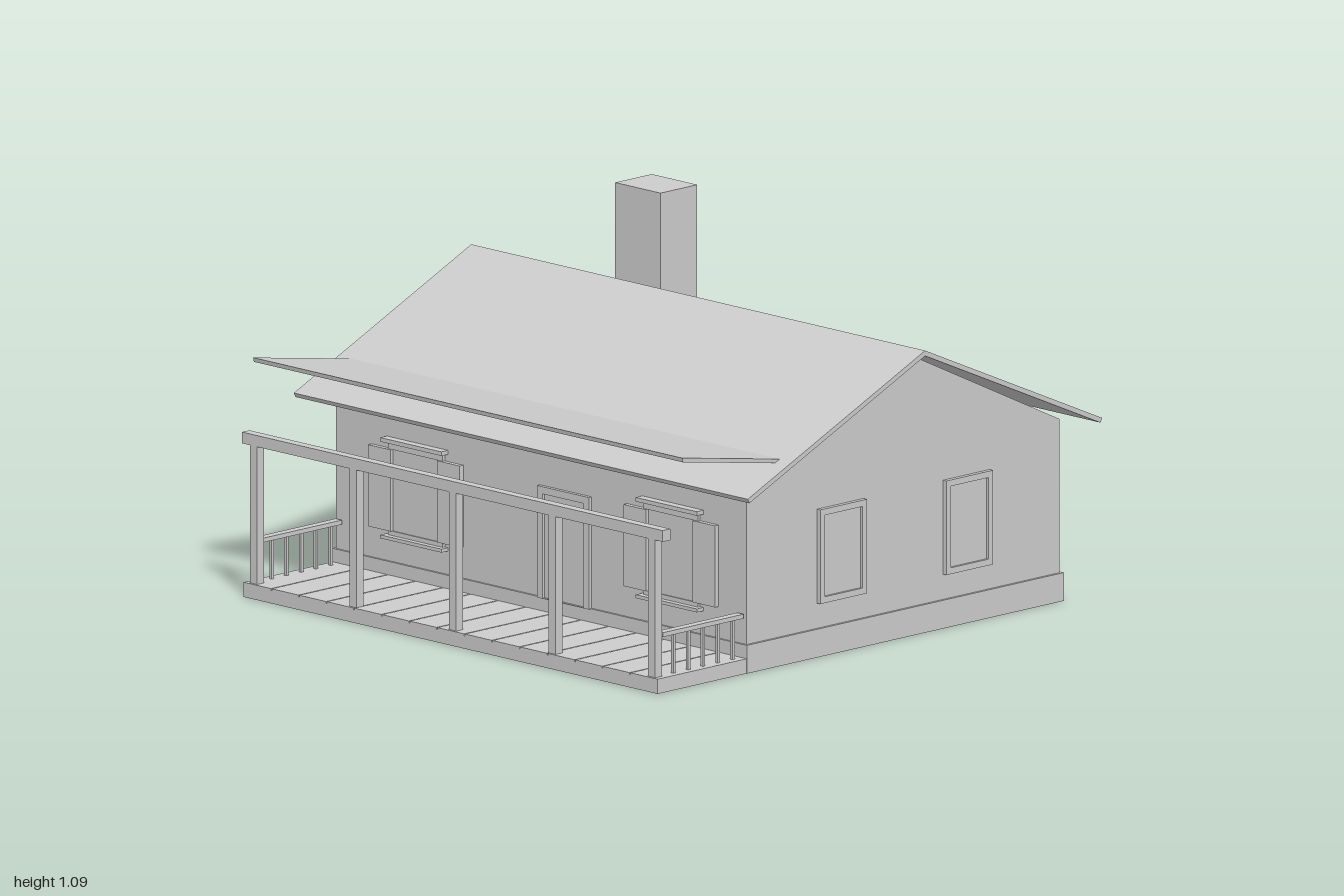
import * as THREE from 'three';

export function createModel() {
  const house = new THREE.Group();
  house.name = 'house';
  const paint = new THREE.MeshStandardMaterial({ color: 0xcccccc });
  paint.name = 'light grey';

  const add = (name, geometry, parent = house) => {
    const mesh = new THREE.Mesh(geometry, paint);
    mesh.name = name;
    parent.add(mesh);
    return mesh;
  };
  // Box given by its limits on each axis
  const box = (name, x0, x1, y0, y1, z0, z1, parent) => {
    const g = new THREE.BoxGeometry(x1 - x0, y1 - y0, z1 - z0);
    g.translate((x0 + x1) / 2, (y0 + y1) / 2, (z0 + z1) / 2);
    return add(name, g, parent);
  };
  // Side profile of [z, y] points extruded across the width
  const acrossX = (name, points, halfWidth) => {
    const shape = new THREE.Shape(points.map(([z, y]) => new THREE.Vector2(z, y)));
    const g = new THREE.ExtrudeGeometry(shape, { depth: halfWidth * 2, bevelEnabled: false });
    g.translate(0, 0, -halfWidth);
    g.rotateY(-Math.PI / 2);
    return add(name, g);
  };
  // Rectangular frame with a rectangular opening, facing +z
  const frameGeometry = (w, h, iw, iy0, iy1, depth) => {
    const rect = (T, hw, y0, y1) => new T([[-hw, y0], [hw, y0], [hw, y1], [-hw, y1]]
      .map(([x, y]) => new THREE.Vector2(x, y)));
    const shape = rect(THREE.Shape, w / 2, 0, h);
    shape.holes.push(rect(THREE.Path, iw / 2, iy0, iy1));
    return new THREE.ExtrudeGeometry(shape, { depth, bevelEnabled: false });
  };

  // Body
  box('foundation', -0.914, 0.914, 0, 0.09, -0.846, 0.537);
  acrossX('walls', [[-0.835, 0.08], [0.53, 0.08], [0.53, 0.58], [-0.153, 0.908], [-0.835, 0.58]], 0.905);

  // Roofs and chimney
  acrossX('mainRoof', [[0.612, 0.57], [0.619, 0.584], [-0.155, 0.928], [-0.927, 0.584],
    [-0.92, 0.57], [-0.155, 0.911]], 1);
  acrossX('porchRoof', [[0.385, 0.65], [0.848, 0.731], [0.851, 0.745], [0.388, 0.664]], 0.945);
  box('chimney', -0.79, -0.59, 0.6, 1.09, -0.735, -0.575);

  // Porch deck with separate floor boards
  box('porchBase', -0.912, 0.912, 0, 0.041, 0.537, 0.925);
  const boards = 15, pitch = 1.824 / boards;
  for (let i = 0; i < boards; i++) {
    const x = -0.912 + i * pitch;
    box('floorBoard', x + (i ? 0.002 : 0), x + pitch - (i < boards - 1 ? 0.002 : 0), 0.041, 0.047, 0.537, 0.925);
  }

  // Porch posts and beam
  for (let i = -2; i <= 2; i++) {
    const x = i * 0.4385;
    box('porchPost', x - 0.016, x + 0.016, 0.047, 0.486, 0.887, 0.917);
  }
  box('porchBeam', -0.927, 0.927, 0.486, 0.522, 0.885, 0.918);

  // Side railings
  for (const s of [-1, 1]) {
    const x = s * 0.885;
    box('handrail', x - 0.014, x + 0.014, 0.173, 0.187, 0.537, 0.888);
    for (let i = 0; i < 5; i++) {
      const z = 0.572 + i * 0.0645;
      box('baluster', x - 0.005, x + 0.005, 0.047, 0.175, z - 0.005, z + 0.005);
    }
  }

  // Side windows, the same on both walls
  for (const s of [-1, 1]) {
    for (const z of [0.121, -0.429]) {
      const win = new THREE.Group();
      win.name = 'sideWindow';
      win.position.set(s * 0.9, 0.17, z);
      win.rotation.y = s * Math.PI / 2;
      add('windowFrame', frameGeometry(0.204, 0.3, 0.164, 0.02, 0.28, 0.02), win);
      box('windowPane', -0.083, 0.083, 0.018, 0.282, 0.002, 0.011, win);
      house.add(win);
    }
  }

  // Front windows with shutters, hood and sill
  for (const x of [-0.545, 0.58]) {
    const win = new THREE.Group();
    win.name = 'frontWindow';
    win.position.set(x, 0, 0.525);
    box('windowPane', -0.104, 0.104, 0.18, 0.46, 0, 0.011, win);
    const frame = add('windowFrame', frameGeometry(0.24, 0.3, 0.204, 0.02, 0.28, 0.015), win);
    frame.position.y = 0.17;
    for (const s of [-1, 1]) {
      box('shutter', s * 0.152 - 0.05, s * 0.152 + 0.05, 0.19, 0.45, 0, 0.021, win);
    }
    box('hood', -0.135, 0.135, 0.473, 0.486, 0, 0.034, win);
    box('sill', -0.135, 0.135, 0.165, 0.176, 0, 0.034, win);
    house.add(win);
  }

  // Front door
  const door = new THREE.Group();
  door.name = 'frontDoor';
  door.position.set(0.109, 0.088, 0.525);
  add('doorFrame', frameGeometry(0.227, 0.357, 0.18, 0.002, 0.334, 0.018), door);
  box('doorPanel', -0.092, 0.092, 0, 0.336, 0, 0.01, door);
  house.add(door);

  return house;
}
